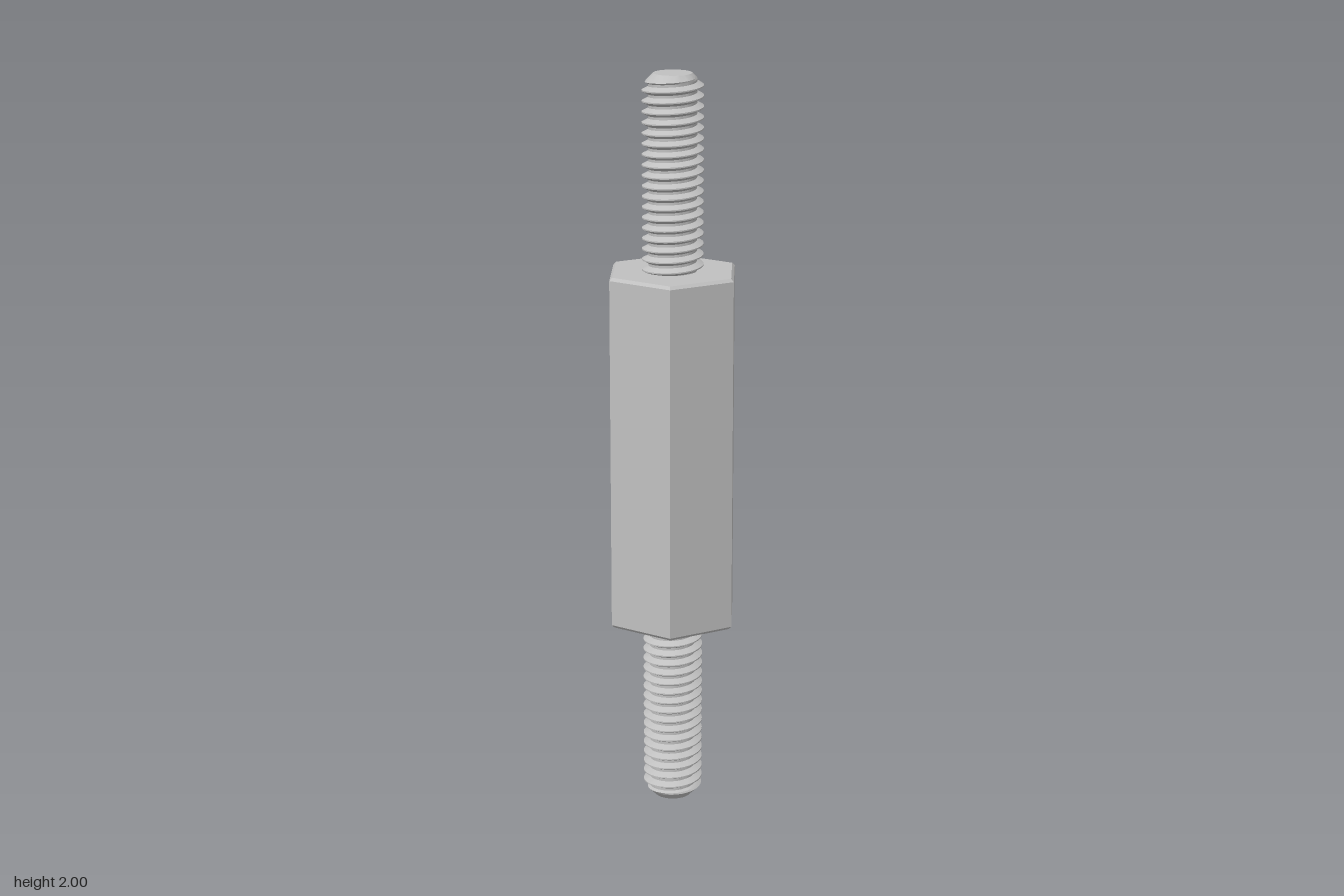
import * as THREE from 'three';
import { mergeVertices, toCreasedNormals } from 'three/addons/utils/BufferGeometryUtils.js';

const STUD = 0.517;         // length of each threaded end
const PITCH = 0.0275;
const ROOT = 0.063, CREST = 0.08;
const TIP = 0.05;           // radius of the flat end
const SIDES = 48;

// One turn of the thread: [fraction of the pitch, height from root to crest]
const TOOTH = [[0, 0], [0.12, 0], [0.28, 0.5], [0.44, 1], [0.56, 1], [0.72, 0.5], [0.88, 0]];

// Right-handed helical stud from y = 0 up to STUD, chamfered at the top
function threadGeometry() {
  const turns = Math.ceil(STUD / PITCH);
  const rows = [];
  for (let t = -1; t <= turns; t++) {
    for (const [f, h] of TOOTH) rows.push([(t + f) * PITCH, ROOT + h * (CREST - ROOT)]);
  }
  const point = (i, [base, radius]) => {
    const u = i / SIDES;
    const y = THREE.MathUtils.clamp(base + u * PITCH, 0, STUD);
    const r = Math.min(radius, TIP + (STUD - y));
    const a = u * Math.PI * 2;
    return new THREE.Vector3(r * Math.sin(a), y, r * Math.cos(a));
  };
  const pos = [];
  const tri = new THREE.Triangle();
  const add = (a, b, c) => {
    tri.set(a, b, c);
    if (tri.getArea() > 1e-9 && !(a.y === 0 && b.y === 0 && c.y === 0)) {
      for (const p of [a, b, c]) pos.push(p.x, p.y, p.z);
    }
  };
  for (let j = 0; j < rows.length - 1; j++) {
    for (let i = 0; i < SIDES; i++) {
      const a = point(i, rows[j]), b = point(i + 1, rows[j]);
      const c = point(i + 1, rows[j + 1]), d = point(i, rows[j + 1]);
      add(a, b, c);
      add(a, c, d);
    }
  }
  const geo = new THREE.BufferGeometry();
  geo.setAttribute('position', new THREE.Float32BufferAttribute(pos, 3));
  return toCreasedNormals(mergeVertices(geo, 1e-5), Math.PI / 7);
}

export function createModel() {
  const steel = new THREE.MeshStandardMaterial({ color: 0xc0c0c0 });
  steel.name = 'steel';
  const model = new THREE.Group();
  model.name = 'hexStandoff';

  // Hexagonal body with bevelled ends, corners on the x axis
  const R = 0.185, B = 0.008, LOW = 0.52, HIGH = 1.485;
  const outline = [[0, LOW], [R - B, LOW], [R, LOW + B], [R, HIGH - B], [R - B, HIGH], [0, HIGH]]
    .map(([x, y]) => new THREE.Vector2(x, y));
  const bodyGeo = toCreasedNormals(new THREE.LatheGeometry(outline, 6, Math.PI / 6), 0.1);
  const body = new THREE.Mesh(bodyGeo, steel);
  body.name = 'hexBody';
  model.add(body);

  // Threaded stud at each end; the lower one is turned over
  const thread = threadGeometry();
  const cap = new THREE.CircleGeometry(TIP, SIDES).rotateX(-Math.PI / 2).translate(0, STUD, 0);
  for (const name of ['upperStud', 'lowerStud']) {
    const stud = new THREE.Group();
    stud.name = name;
    const screw = new THREE.Mesh(thread, steel);
    screw.name = 'thread';
    const end = new THREE.Mesh(cap, steel);
    end.name = 'flatEnd';
    stud.add(screw, end);
    if (name === 'upperStud') {
      stud.position.y = 2 - STUD;
    } else {
      stud.rotation.x = Math.PI;
      stud.position.y = STUD + 0.003;
      stud.scale.y = (STUD + 0.003) / STUD;
    }
    model.add(stud);
  }
  return model;
}
